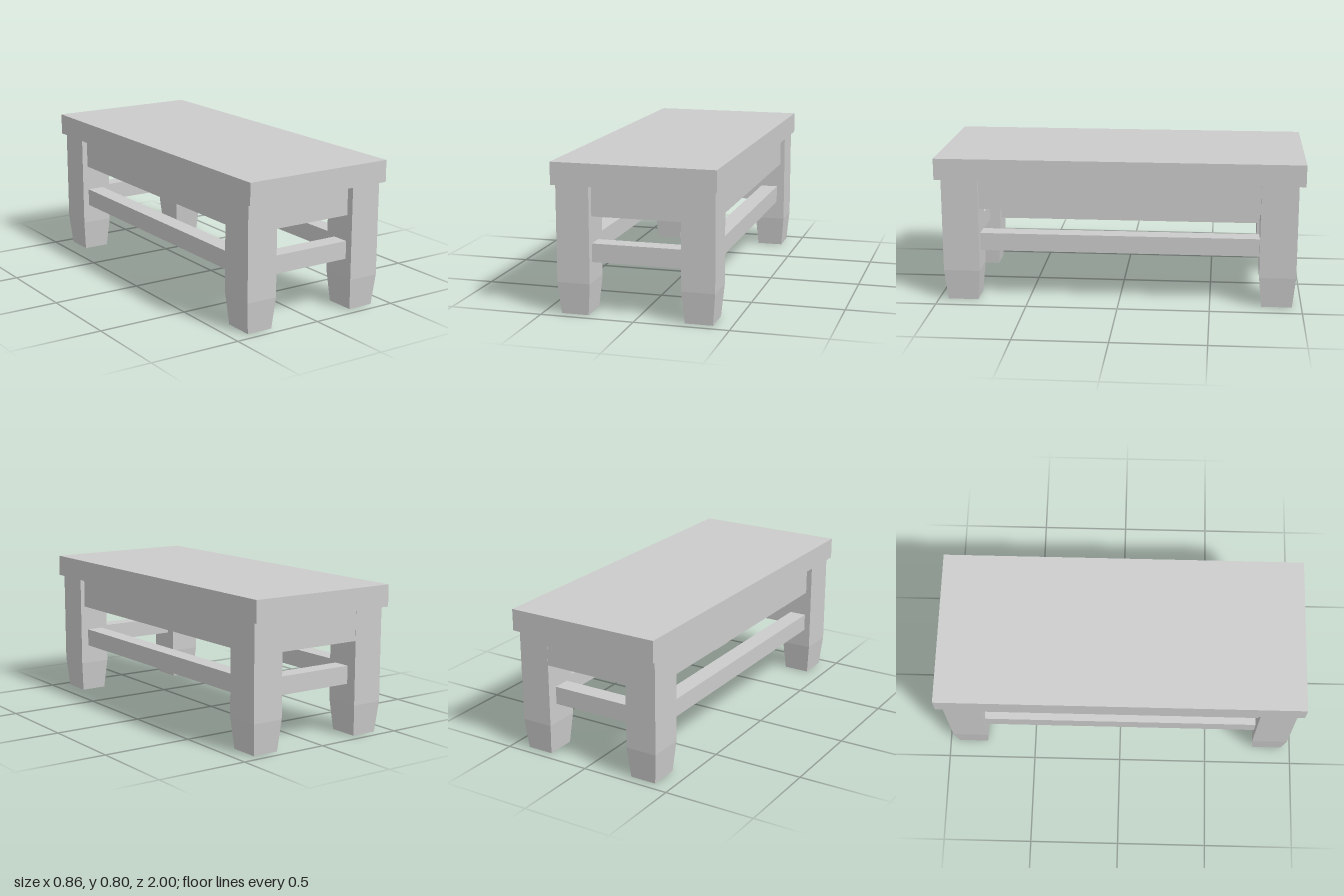
import * as THREE from 'three';

const material = new THREE.MeshStandardMaterial({ color: 0xcccccc, flatShading: true });

// Box given by its limits on each axis
function slab(name, [x0, x1], [y0, y1], [z0, z1]) {
  const mesh = new THREE.Mesh(new THREE.BoxGeometry(x1 - x0, y1 - y0, z1 - z0), material);
  mesh.position.set((x0 + x1) / 2, (y0 + y1) / 2, (z0 + z1) / 2);
  mesh.name = name;
  return mesh;
}

// Square post whose foot narrows below the taper line
function legGeometry(width, depth, height, taperY, footX, footZ) {
  const geometry = new THREE.BoxGeometry(width, height, depth, 1, 2, 1);
  geometry.translate(0, height / 2, 0);
  const p = geometry.attributes.position;
  for (let i = 0; i < p.count; i++) {
    const y = p.getY(i);
    if (y < 0.01) p.setXYZ(i, Math.sign(p.getX(i)) * footX / 2, 0, Math.sign(p.getZ(i)) * footZ / 2);
    else if (y < height - 0.01) p.setY(i, taperY);
  }
  geometry.computeVertexNormals();
  return geometry;
}

export function createModel() {
  const bench = new THREE.Group();
  bench.name = 'bench';

  // Thick top and the solid apron block beneath it
  bench.add(slab('top', [-0.432, 0.432], [0.685, 0.803], [-1, 1]));
  bench.add(slab('apron', [-0.386, 0.393], [0.517, 0.685], [-0.964, 0.925]));

  // Four legs with tapered feet
  const geometry = legGeometry(0.176, 0.2, 0.685, 0.17, 0.146, 0.166);
  for (const [z, end] of [[0.865, 'front'], [-0.865, 'back']]) {
    for (const [x, side] of [[0.33, 'Left'], [-0.33, 'Right']]) {
      const leg = new THREE.Mesh(geometry, material);
      leg.position.set(x, 0, z);
      leg.name = `${end}${side}Leg`;
      bench.add(leg);
    }
  }

  // Stretchers joining the legs
  const rail = [0.277, 0.375];
  bench.add(slab('leftStretcher', [0.276, 0.373], rail, [-0.8, 0.8]));
  bench.add(slab('rightStretcher', [-0.383, -0.286], rail, [-0.8, 0.8]));
  bench.add(slab('frontStretcher', [-0.28, 0.28], rail, [0.825, 0.922]));
  bench.add(slab('backStretcher', [-0.28, 0.28], rail, [-0.906, -0.81]));

  return bench;
}
